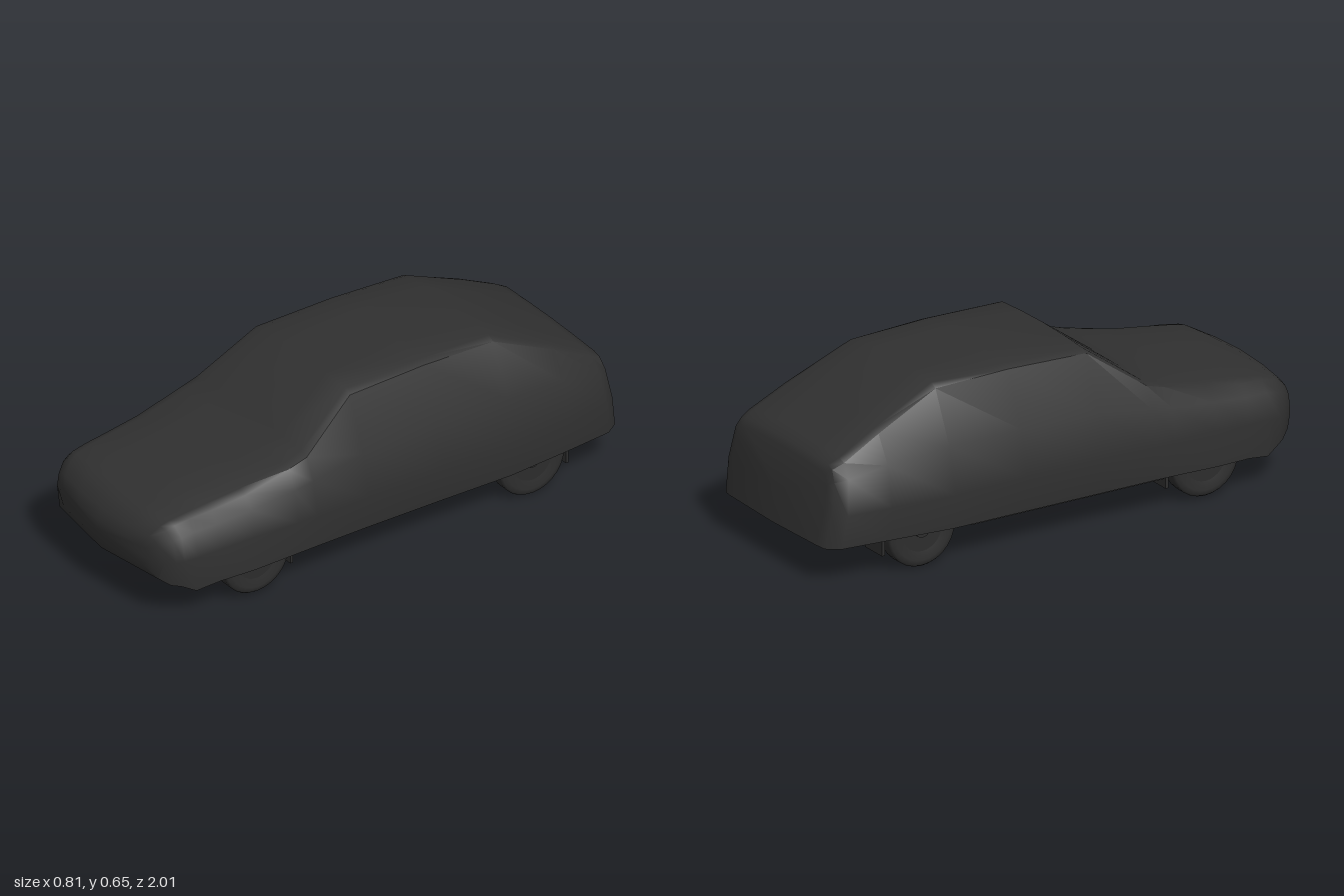
import * as THREE from 'three';
import { toCreasedNormals } from 'three/addons/utils/BufferGeometryUtils.js';

const material = (name, color, side = THREE.FrontSide) => {
  const m = new THREE.MeshStandardMaterial({ color, side });
  m.name = name;
  return m;
};

// Cross-sections from nose to tail:
// z, hem y, hem half-width, bulge half-width, belt y, belt half-width, edge y, edge half-width, top y
const SECTIONS = [
  [1.0, 0.205, 0.24, 0.27, 0.26, 0.265, 0.275, 0.25, 0.28],
  [0.985, 0.165, 0.3, 0.325, 0.295, 0.31, 0.315, 0.28, 0.322],
  [0.945, 0.138, 0.325, 0.35, 0.32, 0.335, 0.35, 0.3, 0.362],
  [0.91, 0.133, 0.345, 0.362, 0.33, 0.345, 0.366, 0.31, 0.378],
  [0.84, 0.105, 0.36, 0.37, 0.34, 0.35, 0.375, 0.315, 0.39],
  [0.74, 0.12, 0.375, 0.38, 0.345, 0.358, 0.383, 0.322, 0.407],
  [0.6, 0.125, 0.39, 0.392, 0.36, 0.37, 0.4, 0.33, 0.425],
  [0.42, 0.13, 0.392, 0.4, 0.38, 0.378, 0.445, 0.335, 0.46],
  [0.34, 0.13, 0.39, 0.4, 0.39, 0.376, 0.468, 0.335, 0.488],
  [0.12, 0.125, 0.38, 0.4, 0.42, 0.368, 0.622, 0.285, 0.645],
  [-0.2, 0.125, 0.38, 0.4, 0.43, 0.365, 0.63, 0.28, 0.652],
  [-0.5, 0.13, 0.39, 0.405, 0.43, 0.365, 0.62, 0.275, 0.645],
  [-0.75, 0.135, 0.375, 0.385, 0.41, 0.355, 0.51, 0.295, 0.53],
  [-0.9, 0.135, 0.355, 0.368, 0.385, 0.345, 0.435, 0.305, 0.455],
  [-0.94, 0.135, 0.32, 0.335, 0.375, 0.32, 0.415, 0.295, 0.432],
  [-0.95, 0.14, 0.28, 0.3, 0.36, 0.29, 0.39, 0.27, 0.405],
];
const CLOSED_NOSE_BANDS = 4; // bands where the cloth wraps under the nose

function coverGeometry() {
  const pos = [], idx = [];
  const n = 14;
  for (const [z, yh, wh, wb, yl, wl, ye, we, yt] of SECTIONS) {
    const yb = 0.26 - Math.max(0, z - 0.6) * 0.06; // bulge drops towards the nose
    const half = [[wh, yh], [wb, yb], [wl, yl], [we, ye],
      [we * 0.9, ye + (yt - ye) * 0.55], [we * 0.5, yt - (yt - ye) * 0.15]];
    const ring = [...half, [0, yt], ...half.slice().reverse().map(([x, y]) => [-x, y]), [0, yh - 0.006]];
    for (const [x, y] of ring) {
      // bowed nose, leaning tail
      const bow = Math.max(0, (z - 0.8) / 0.2) * 0.42 * x * x;
      const lean = Math.max(0, (-z - 0.75) / 0.2) * 0.18 * Math.max(0, 0.43 - y);
      pos.push(x, y, z - bow - lean);
    }
  }
  for (let i = 0; i < SECTIONS.length - 1; i++) {
    const edges = i < CLOSED_NOSE_BANDS ? n : n - 2;
    for (let j = 0; j < edges; j++) {
      const a = i * n + j, b = i * n + (j + 1) % n;
      idx.push(a, a + n, b, b, a + n, b + n);
    }
  }
  // nose and tail caps
  const last = (SECTIONS.length - 1) * n, front = pos.length / 3;
  pos.push(0, 0.24, 1.002, 0, 0.26, -0.985);
  for (let j = 0; j < n; j++) {
    const k = (j + 1) % n;
    idx.push(front, j, k, front + 1, last + k, last + j);
  }
  const g = new THREE.BufferGeometry();
  g.setAttribute('position', new THREE.Float32BufferAttribute(pos, 3));
  g.setIndex(idx);
  return toCreasedNormals(g, 0.7);
}

export function createModel() {
  const car = new THREE.Group();
  car.name = 'coveredCar';
  const cloth = material('coverCloth', 0x303030, THREE.DoubleSide);
  const dark = material('underbodyDark', 0x2c2c2c);

  const add = (name, geo, x = 0, y = 0, z = 0, mat = dark, parent = car) => {
    const m = new THREE.Mesh(geo, mat);
    m.name = name;
    m.position.set(x, y, z);
    parent.add(m);
    return m;
  };
  const box = (name, w, h, d, x, y, z) => add(name, new THREE.BoxGeometry(w, h, d), x, y, z);
  const pipe = (name, r, ...pts) => add(name, new THREE.TubeGeometry(
    new THREE.CatmullRomCurve3(pts.map(p => new THREE.Vector3(...p))), 20, r, 8));

  add('carCover', coverGeometry(), 0, 0, 0, cloth);

  // Floor pans
  box('cabinFloor', 0.74, 0.02, 0.82, 0, 0.155, -0.01);
  box('engineTray', 0.5, 0.02, 0.5, 0, 0.2, 0.62);
  box('bootFloor', 0.5, 0.02, 0.52, 0, 0.2, -0.66);
  box('transmissionTunnel', 0.09, 0.03, 0.78, 0, 0.14, 0);
  box('frontCrossmember', 0.48, 0.03, 0.06, 0, 0.125, 0.42);
  box('gearboxPan', 0.16, 0.05, 0.26, 0, 0.135, 0.28);
  box('enginePan', 0.2, 0.07, 0.28, 0, 0.155, 0.62);
  box('rearCrossmember', 0.5, 0.03, 0.05, 0, 0.16, -0.45);
  box('fuelTank', 0.42, 0.06, 0.18, 0, 0.165, -0.82);
  pipe('steeringRack', 0.012, [-0.28, 0.14, 0.47], [0, 0.135, 0.48], [0.28, 0.14, 0.47]);

  // Exhaust
  pipe('exhaustPipe', 0.011, [0.06, 0.13, 0.55], [0.06, 0.12, 0.2], [0.05, 0.125, -0.3],
    [0.14, 0.15, -0.6], [0.17, 0.15, -0.93]);
  const silencer = add('exhaustSilencer', new THREE.CylinderGeometry(0.024, 0.024, 0.2, 12), 0.055, 0.132, -0.12);
  silencer.rotation.x = Math.PI / 2;

  // Tyre profile: radius against width
  const tyre = new THREE.LatheGeometry([
    [0.08, -0.03], [0.115, -0.037], [0.133, -0.034], [0.14, -0.024],
    [0.14, 0.024], [0.133, 0.034], [0.115, 0.037], [0.08, 0.03],
  ].map(p => new THREE.Vector2(...p)), 28);
  const hub = new THREE.CylinderGeometry(0.084, 0.084, 0.061, 28);
  const hubCap = new THREE.CylinderGeometry(0.03, 0.03, 0.072, 16);

  for (const [end, z, y] of [['front', 0.57, 0.15], ['rear', -0.61, 0.141]]) {
    const axle = add(end + 'Axle', new THREE.CylinderGeometry(0.013, 0.013, 0.62, 10), 0, y, z);
    axle.rotation.z = Math.PI / 2;
    for (const s of [1, -1]) {
      const wheel = new THREE.Group();
      wheel.name = end + (s > 0 ? 'LeftWheel' : 'RightWheel');
      wheel.position.set(s * 0.328, y, z);
      wheel.rotation.z = Math.PI / 2;
      add('tyre', tyre, 0, 0, 0, dark, wheel);
      add('hub', hub, 0, 0, 0, dark, wheel);
      add('hubCap', hubCap, 0, 0, 0, dark, wheel);
      car.add(wheel);
      // Suspension arms and mud flaps
      pipe(end + 'SuspensionArm', 0.012, [s * 0.29, y - 0.02, z], [s * 0.2, 0.13, z], [s * 0.12, 0.14, z + 0.16]);
      box(end + 'MudFlap', 0.11, 0.09, 0.012, s * 0.295, 0.115, z - 0.155);
    }
  }

  // Sills and chassis rails
  for (const s of [1, -1]) {
    box('sill', 0.03, 0.035, 0.8, s * 0.355, 0.135, -0.01);
    box('chassisRail', 0.03, 0.025, 0.8, s * 0.2, 0.138, -0.01);
    box('rearRail', 0.03, 0.04, 0.5, s * 0.23, 0.18, -0.66);
    box('frontRail', 0.03, 0.04, 0.48, s * 0.22, 0.18, 0.62);
  }
  return car;
}
